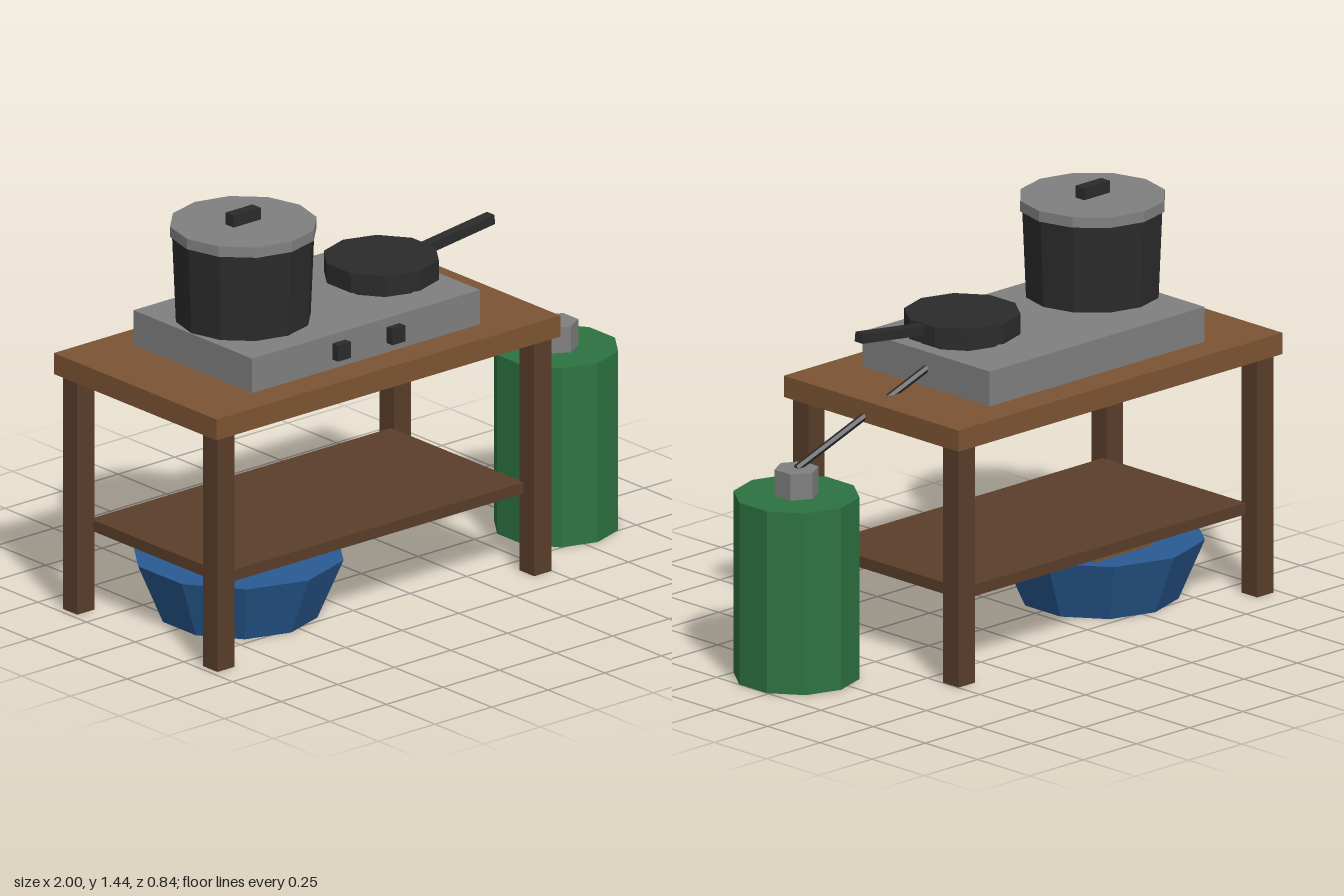
import * as THREE from 'three';

const mat = (name, color) => {
  const m = new THREE.MeshStandardMaterial({ color });
  m.name = name;
  m.flatShading = true;
  return m;
};

export function createModel() {
  const group = new THREE.Group();
  const wood = mat('table wood', 0x7c5433);
  const darkWood = mat('dark wood', 0x5a3e2a);
  const steel = mat('steel grey', 0x808080);
  const black = mat('cast iron black', 0x2b2b2b);
  const green = mat('bottle green', 0x2d7341);
  const blue = mat('basin blue', 0x2a5b94);

  const add = (name, geometry, material, x, y, z) => {
    const mesh = new THREE.Mesh(geometry, material);
    mesh.name = name;
    mesh.position.set(x, y, z);
    group.add(mesh);
    return mesh;
  };
  // box given by its extents on each axis
  const box = (name, material, [x0, x1], [y0, y1], [z0, z1]) =>
    add(name, new THREE.BoxGeometry(x1 - x0, y1 - y0, z1 - z0), material,
      (x0 + x1) / 2, (y0 + y1) / 2, (z0 + z1) / 2);
  // upright faceted drum from y0 to y1
  const drum = (name, material, x, z, y0, y1, rTop, rBottom, sides) =>
    add(name, new THREE.CylinderGeometry(rTop, rBottom, y1 - y0, sides), material,
      x, (y0 + y1) / 2, z);
  // straight rod between two points
  const rod = (name, material, a, b, geometryOf) => {
    const d = b.clone().sub(a);
    const mesh = add(name, geometryOf(d.length()), material, 0, 0, 0);
    mesh.position.copy(a).add(b).multiplyScalar(0.5);
    mesh.quaternion.setFromUnitVectors(new THREE.Vector3(0, 1, 0), d.normalize());
    return mesh;
  };

  // table
  box('tableTop', wood, [-1, 0.52], [0.84, 0.915], [-0.418, 0.418]);
  for (const x of [-0.94, 0.46])
    for (const z of [-0.36, 0.36])
      box('tableLeg', darkWood, [x - 0.038, x + 0.038], [0, 0.84], [z - 0.037, z + 0.037]);
  box('shelf', darkWood, [-0.905, 0.425], [0.28, 0.32], [-0.342, 0.342]);

  // stove with burners and knobs
  box('stoveBody', steel, [-0.745, 0.262], [0.915, 1.038], [-0.305, 0.305]);
  const potX = -0.545, panX = 0.065, cookZ = 0.027;
  for (const x of [potX, panX])
    drum('burner', black, x, cookZ, 1.038, 1.062, 0.152, 0.152, 10);
  for (const x of [-0.362, -0.122])
    box('knob', black, [x - 0.029, x + 0.029], [0.949, 1.006], [0.3, 0.335]);

  // pot and lid
  drum('pot', black, potX, cookZ, 1.058, 1.365, 0.243, 0.23, 12);
  drum('potLid', steel, potX, cookZ, 1.363, 1.4, 0.25, 0.25, 12);
  box('lidHandle', black, [-0.606, -0.486], [1.4, 1.442], [0.006, 0.048]);

  // frying pan
  drum('fryingPan', black, panX, cookZ, 1.06, 1.13, 0.198, 0.198, 10);
  rod('panHandle', black, new THREE.Vector3(0.26, 1.11, cookZ), new THREE.Vector3(0.55, 1.146, cookZ),
    (length) => new THREE.BoxGeometry(0.034, length, 0.038));

  // gas bottle, valve and hose
  const gasX = 0.796, gasZ = 0.075;
  drum('gasBottle', green, gasX, gasZ, 0, 0.64, 0.214, 0.214, 10);
  drum('gasValve', steel, gasX, gasZ, 0.64, 0.732, 0.076, 0.076, 6);
  rod('gasHose', black, new THREE.Vector3(0.25, 0.982, 0), new THREE.Vector3(gasX, 0.73, gasZ),
    (length) => new THREE.CylinderGeometry(0.013, 0.013, length, 6));

  // basin with its contents below the shelf
  drum('basin', blue, -0.545, 0, 0, 0.212, 0.363, 0.273, 10);
  box('basinBlockLeft', wood, [-0.59, -0.32], [0.2, 0.28], [-0.213, 0.12]);
  box('basinBlockRight', wood, [-0.768, -0.545], [0.2, 0.279], [-0.12, 0.14]);

  return group;
}
